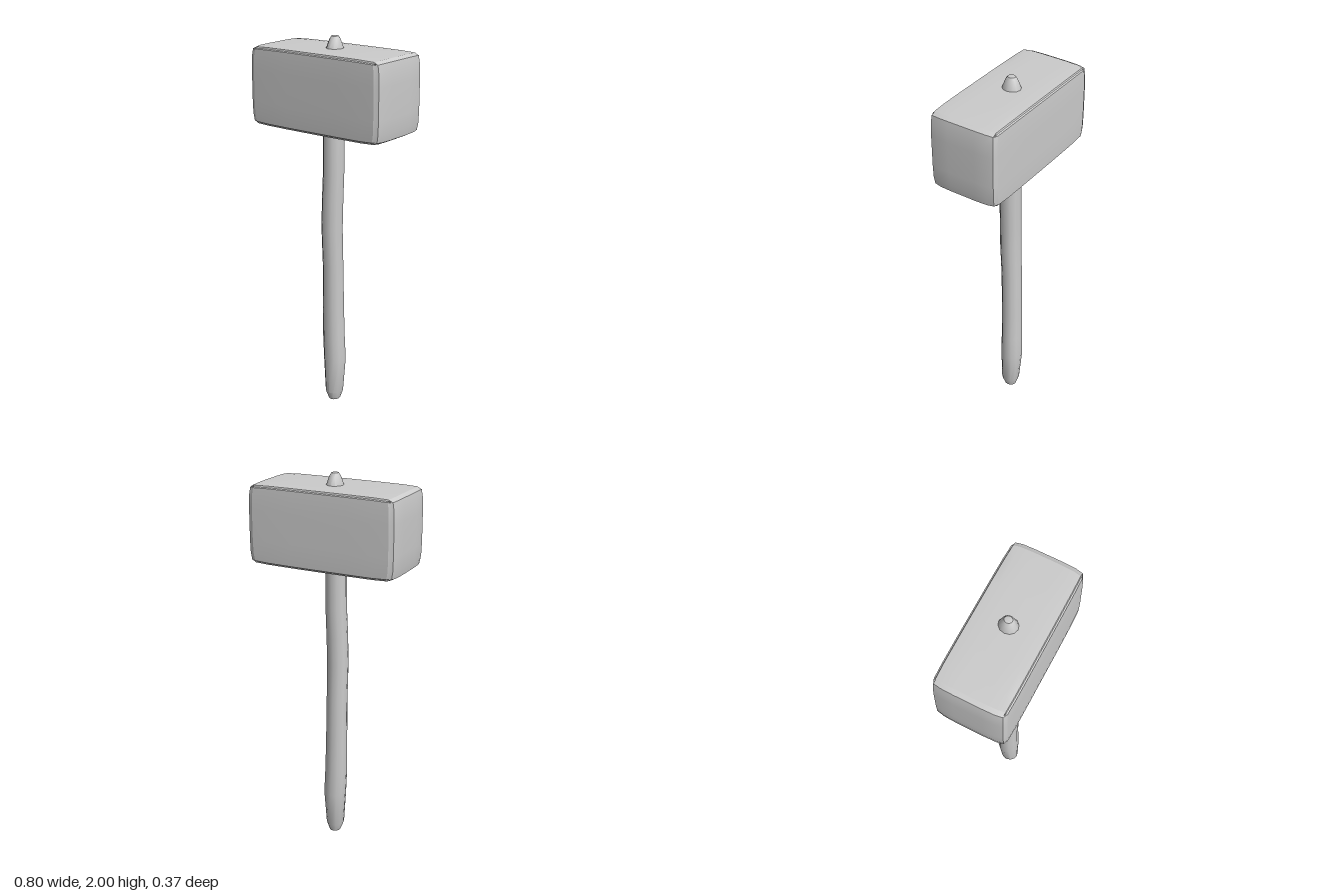
import * as THREE from 'three';
import { toCreasedNormals } from 'three/addons/utils/BufferGeometryUtils.js';

const material = new THREE.MeshStandardMaterial({ color: 0xcccccc });

// Lofted shaft: rings run from top to bottom as [y, centreX, centreZ, radiusX, radiusZ]
function loft(name, rings, sides) {
  const geo = new THREE.CylinderGeometry(0, 0, 1, sides, rings.length - 1, true);
  const pos = geo.attributes.position;
  for (let i = 0; i < pos.count; i++) {
    const [y, cx, cz, rx, rz] = rings[Math.floor(i / (sides + 1))];
    const a = ((i % (sides + 1)) % sides) / sides * Math.PI * 2;
    pos.setXYZ(i, cx + rx * Math.sin(a), y, cz + rz * Math.cos(a));
  }
  const mesh = new THREE.Mesh(toCreasedNormals(geo, 0.6), material);
  mesh.name = name;
  return mesh;
}

// Mallet block: faces bulge slightly and every edge is chamfered
function hammerHead() {
  const stations = [-1, -0.95, -0.75, -0.4, 0, 0.4, 0.75, 0.95, 1];
  const half = [0.402, 0.203, 0.185];
  const sag = [0.012, 0.005, 0.004];
  const n = stations.length - 1;
  const geo = new THREE.BoxGeometry(n, n, n, n, n, n);
  const pos = geo.attributes.position;
  for (let i = 0; i < pos.count; i++) {
    const s = [pos.getX(i), pos.getY(i), pos.getZ(i)]
      .map((v) => stations[Math.round(v + n / 2)]);
    const outer = s.filter((v) => Math.abs(v) === 1).length;
    const pull = [0, 0, 0.006, 0.01][outer];
    const p = s.map((v, k) => {
      const others = s[(k + 1) % 3] ** 6 + s[(k + 2) % 3] ** 6;
      const inset = Math.abs(v) === 1 ? pull : 0;
      return v * (half[k] - sag[k] * others) - Math.sign(v) * inset;
    });
    pos.setXYZ(i, ...p);
  }
  const mesh = new THREE.Mesh(toCreasedNormals(geo, 0.4), material);
  mesh.name = 'hammerHead';
  mesh.position.y = 1.733;
  return mesh;
}

export function createModel() {
  const group = new THREE.Group();
  group.name = 'mallet';
  group.add(hammerHead());

  // Slightly crooked wooden handle with a tapered butt, tip showing above the head
  group.add(loft('handle', [
    [2.0, 0.0, -0.005, 0, 0],
    [1.995, 0.0, -0.005, 0.018, 0.02],
    [1.98, 0.0, -0.005, 0.027, 0.031],
    [1.93, 0.0, -0.005, 0.045, 0.05],
    [1.7, 0.0, 0.0, 0.052, 0.054],
    [1.5, -0.002, 0.003, 0.054, 0.055],
    [1.3, -0.002, 0.004, 0.055, 0.055],
    [1.15, -0.007, 0.006, 0.056, 0.055],
    [1.0, -0.01, 0.007, 0.056, 0.055],
    [0.8, -0.009, 0.0, 0.055, 0.054],
    [0.55, -0.008, -0.003, 0.057, 0.055],
    [0.38, -0.006, -0.004, 0.06, 0.056],
    [0.25, -0.001, -0.006, 0.06, 0.058],
    [0.06, 0.001, 0.001, 0.047, 0.049],
    [0.015, 0.002, 0.001, 0.03, 0.033],
    [0.0, 0.002, 0.001, 0, 0],
  ], 12));

  return group;
}
